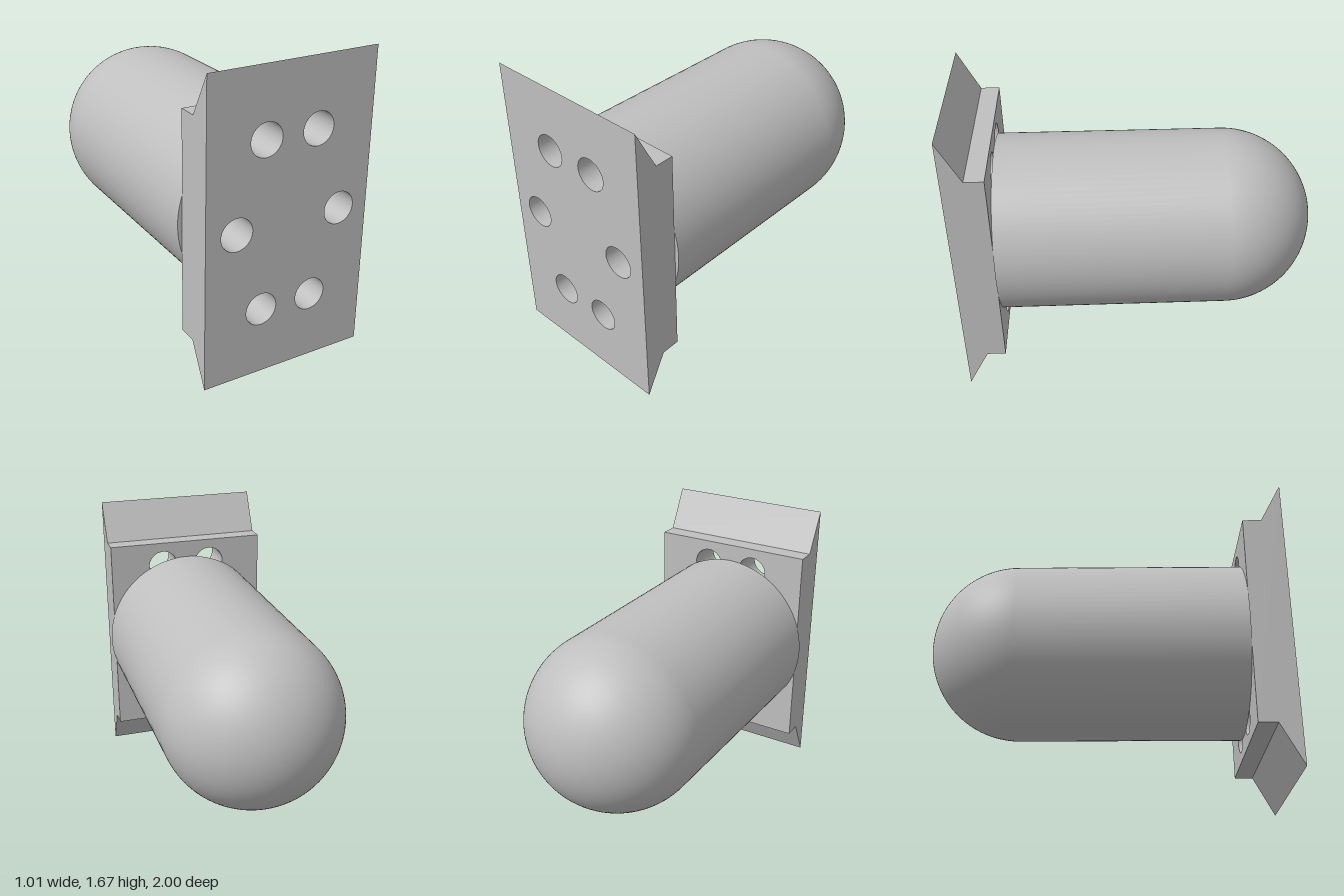
import * as THREE from 'three';
import { mergeGeometries } from 'three/addons/utils/BufferGeometryUtils.js';

const MID_Y = 0.835;              // height of the axis
const HALF_W = 0.48;              // half width of the mounting plate
const BACK = 0.775, STEP = 0.88, FRONT = 1;
const HOLE_R = 0.09;
const HOLES = [-1, 1].flatMap(s => [[s * 0.15, 0.46], [s * 0.305, 0], [s * 0.15, -0.46]]);

// Rectangle centred on the axis, pierced by the bolt holes
function piercedFace(halfHeight) {
  const s = new THREE.Shape([
    new THREE.Vector2(-HALF_W, -halfHeight), new THREE.Vector2(HALF_W, -halfHeight),
    new THREE.Vector2(HALF_W, halfHeight), new THREE.Vector2(-HALF_W, halfHeight),
  ]);
  for (const [x, y] of HOLES) {
    s.holes.push(new THREE.Path().absarc(x, y, HOLE_R, 0, Math.PI * 2, true));
  }
  return new THREE.ShapeGeometry(s, 24);
}

// Flared outline swept across x, without its front and back walls
function plateRim() {
  const profile = new THREE.Shape([
    [BACK, -0.605], [STEP, -0.605], [FRONT, -MID_Y],
    [FRONT, MID_Y], [STEP, 0.605], [BACK, 0.605],
  ].map(p => new THREE.Vector2(...p)));
  const g = new THREE.ExtrudeGeometry(profile, { depth: 2 * HALF_W, bevelEnabled: false });
  g.rotateY(-Math.PI / 2).translate(HALF_W, 0, 0);
  const normal = g.attributes.normal, keep = [];
  for (let i = 0; i < normal.count; i += 3) {
    if (Math.abs(normal.getZ(i)) < 0.99) keep.push(i, i + 1, i + 2);
  }
  g.setIndex(keep);
  g.clearGroups();
  return g;
}

export function createModel() {
  const model = new THREE.Group();
  const grey = new THREE.MeshStandardMaterial({ color: 0xbfbfbf, side: THREE.DoubleSide });
  grey.name = 'plain grey';
  const add = (name, geometry) => {
    const mesh = new THREE.Mesh(geometry, grey);
    mesh.name = name;
    mesh.position.y = MID_Y;
    model.add(mesh);
  };

  // Mounting plate with flared top and bottom lips
  add('mountingPlate', mergeGeometries([
    plateRim(),
    piercedFace(MID_Y).translate(0, 0, FRONT),
    piercedFace(0.605).rotateY(Math.PI).translate(0, 0, BACK),
  ]));

  // Walls of the bolt holes
  add('boltHoles', mergeGeometries(HOLES.map(([x, y]) =>
    new THREE.CylinderGeometry(HOLE_R, HOLE_R, FRONT - BACK, 48, 1, true)
      .rotateX(Math.PI / 2).translate(x, y, (FRONT + BACK) / 2))));

  // Round body with a domed end
  const R = 0.505, domeZ = -1 + R;
  const outline = [new THREE.Vector2(R, -BACK)];
  for (let i = 0; i <= 32; i++) {
    const a = i / 32 * Math.PI / 2;
    outline.push(new THREE.Vector2(R * Math.cos(a), -domeZ + R * Math.sin(a)));
  }
  add('domedBody', new THREE.LatheGeometry(outline, 96).rotateX(-Math.PI / 2));
  add('bodyBase', new THREE.CircleGeometry(R, 96).translate(0, 0, BACK));

  return model;
}
